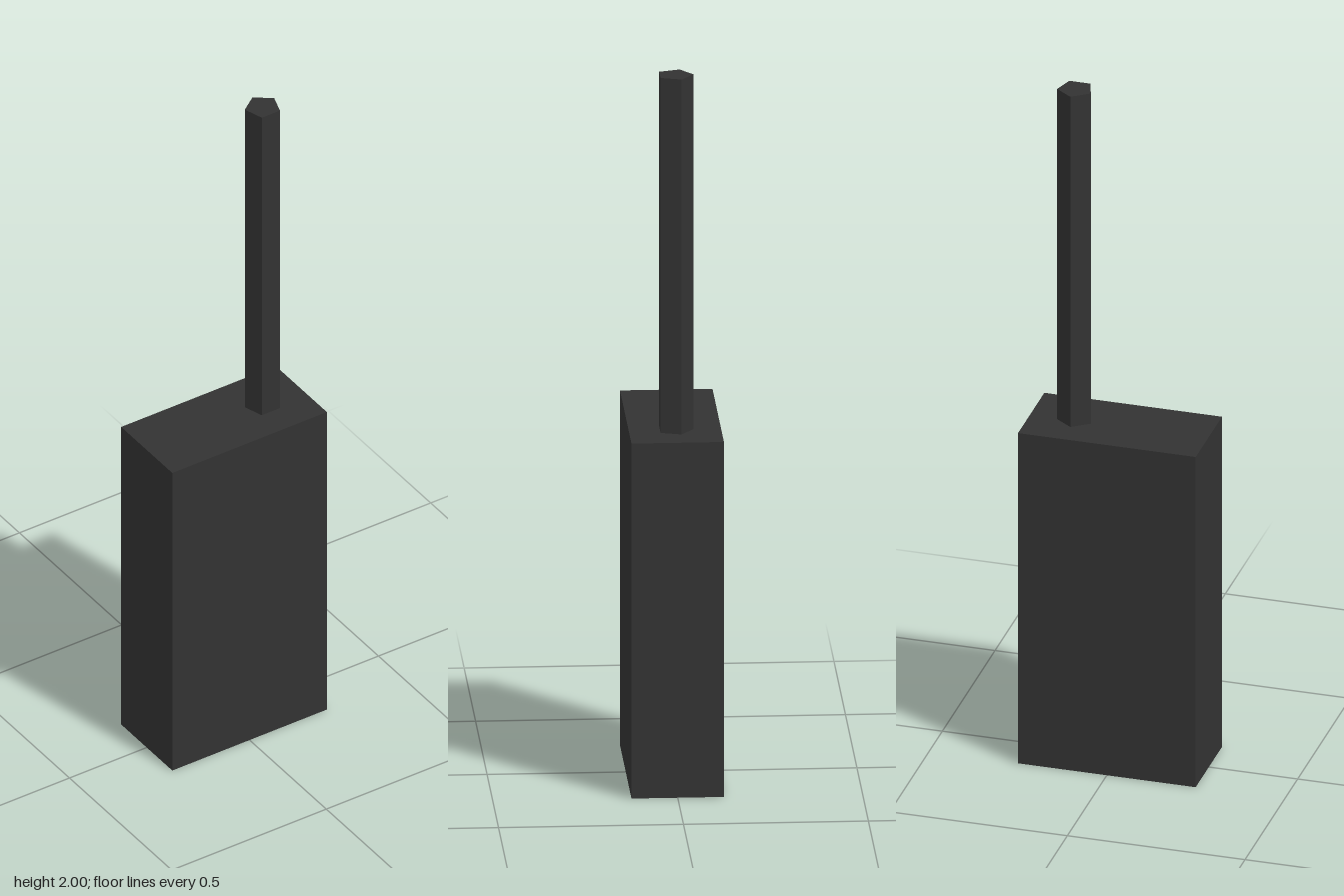
import * as THREE from 'three';

export function createModel() {
  const group = new THREE.Group();
  group.name = 'handheldRadio';

  const darkGrey = new THREE.MeshStandardMaterial({ color: 0x333333, flatShading: true });
  darkGrey.name = 'darkGrey';

  const addPart = (name, geometry, x, y, z) => {
    const mesh = new THREE.Mesh(geometry, darkGrey);
    mesh.name = name;
    mesh.position.set(x, y, z);
    group.add(mesh);
  };

  // Box body standing on the ground
  addPart('body', new THREE.BoxGeometry(0.5, 1, 0.25), 0, 0.5, 0);

  // Five-sided antenna, one corner pointing to the back
  addPart('antenna', new THREE.CylinderGeometry(0.05, 0.05, 1, 5, 1, false, Math.PI), 0.125, 1.5, 0);

  return group;
}
